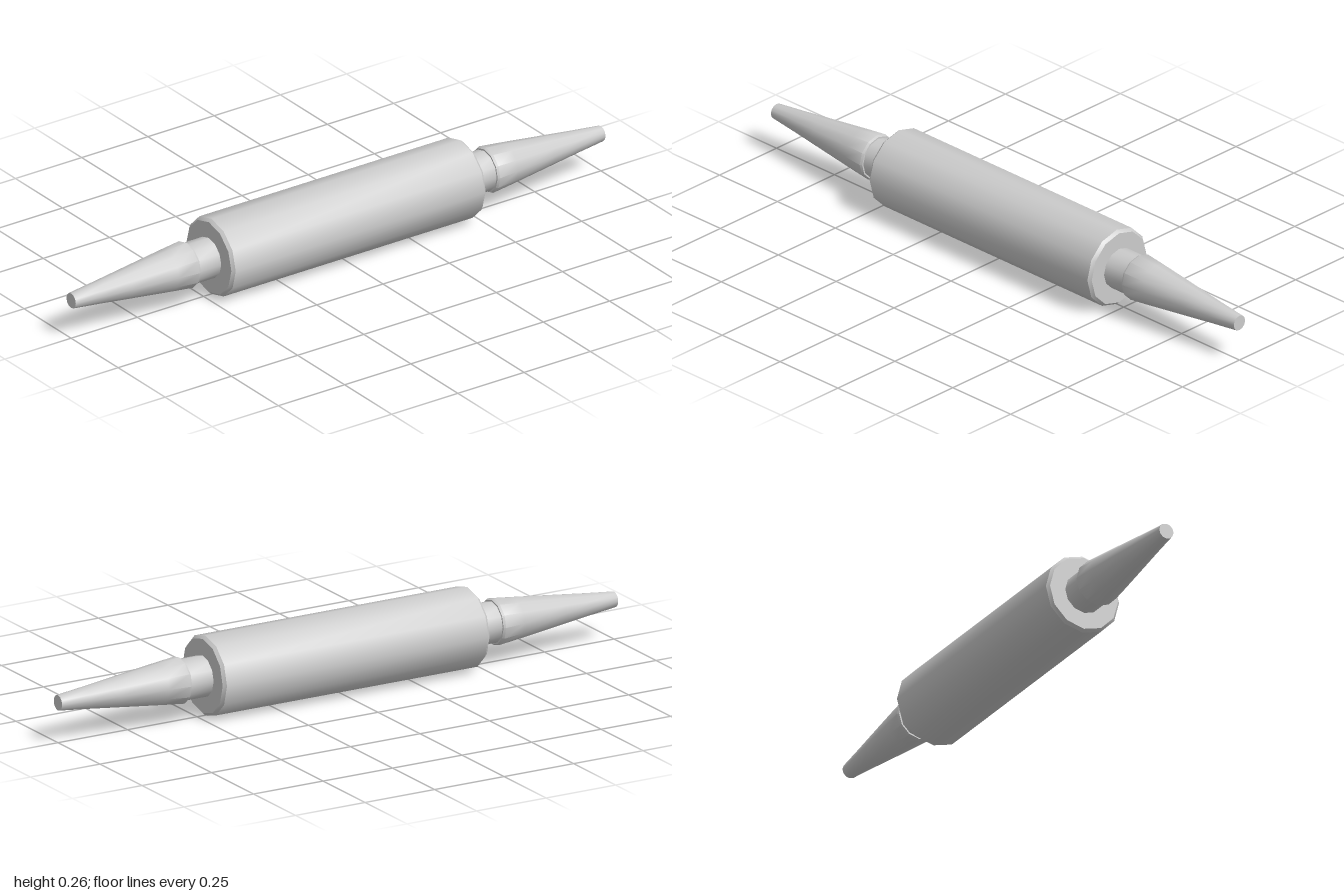
import * as THREE from 'three';
import { toCreasedNormals } from 'three/addons/utils/BufferGeometryUtils.js';

const SIDES = 12;
const AXIS_Y = 0.13;

// Turned part: profile of [radius, distance along the axis], axis laid along z
function turned(name, profile, material, direction = 1) {
  const points = profile.map(([r, d]) => new THREE.Vector2(r, d));
  const geometry = toCreasedNormals(new THREE.LatheGeometry(points, SIDES), 0.7);
  geometry.rotateX(direction * Math.PI / 2);
  const mesh = new THREE.Mesh(geometry, material);
  mesh.name = name;
  mesh.position.y = AXIS_Y;
  return mesh;
}

export function createModel() {
  const group = new THREE.Group();
  group.name = 'rollingPin';
  const material = new THREE.MeshStandardMaterial({ color: 0xcccccc });

  // Roller with chamfered rims
  group.add(turned('roller', [
    [0, -0.48], [0.12, -0.48], [0.129, -0.47],
    [0.129, 0.47], [0.12, 0.48], [0, 0.48],
  ], material));

  // Neck and tapered handle at each end
  for (const [side, direction] of [['front', 1], ['back', -1]]) {
    group.add(turned(side + 'Neck', [
      [0, 0.46], [0.066, 0.46], [0.066, 0.57], [0, 0.57],
    ], material, direction));
    group.add(turned(side + 'Handle', [
      [0, 0.56], [0.071, 0.56], [0.075, 0.567], [0.067, 0.64],
      [0.048, 0.8], [0.036, 0.9], [0.025, 1], [0, 1],
    ], material, direction));
  }
  return group;
}
